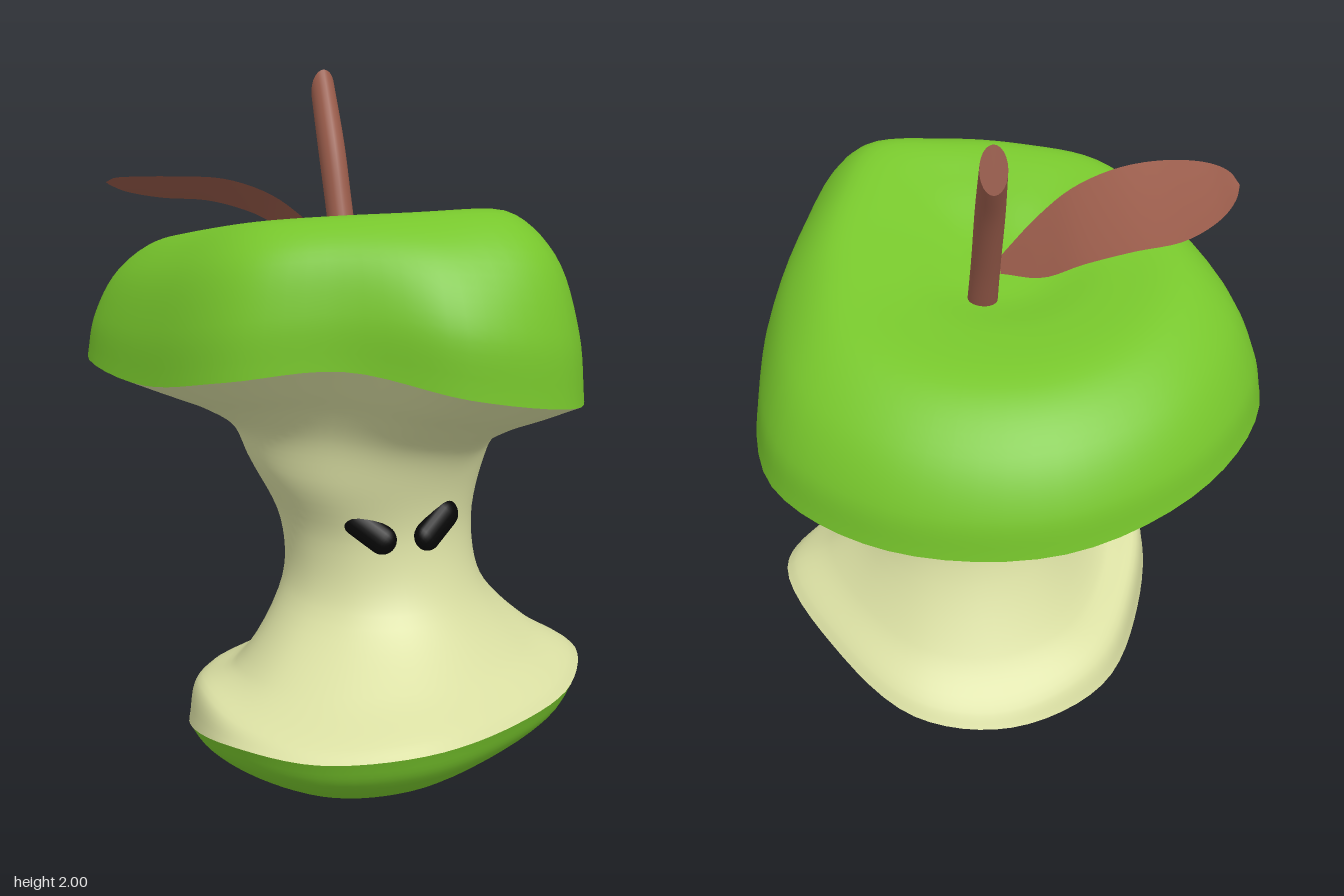
import * as THREE from 'three';
import { mergeVertices } from 'three/addons/utils/BufferGeometryUtils.js';

const V = (x, y, z) => new THREE.Vector3(x, y, z);
const mat = (name, color, side = THREE.FrontSide) => {
  const m = new THREE.MeshStandardMaterial({ color, side });
  m.name = name;
  return m;
};

function finish(pos, idx) {
  let g = new THREE.BufferGeometry();
  g.setAttribute('position', new THREE.Float32BufferAttribute(pos, 3));
  g.setIndex(idx);
  g = mergeVertices(g, 1e-5);
  g.computeVertexNormals();
  return g;
}

// Smooth skin through closed rings, listed from top to bottom.
function loft(rings, around = 72, rows = 24) {
  const loops = rings.map(r => new THREE.CatmullRomCurve3(r, true));
  const pos = [], idx = [];
  for (let j = 0; j < around; j++) {
    const column = new THREE.CatmullRomCurve3(loops.map(l => l.getPoint(j / around)));
    for (let i = 0; i <= rows; i++) pos.push(...column.getPoint(i / rows).toArray());
  }
  const id = (j, i) => (j % around) * (rows + 1) + i;
  for (let j = 0; j < around; j++) {
    for (let i = 0; i < rows; i++) {
      idx.push(id(j, i), id(j + 1, i), id(j, i + 1), id(j + 1, i), id(j + 1, i + 1), id(j, i + 1));
    }
  }
  return finish(pos, idx);
}

// Ring helpers: twelve points each, starting at +x and turning towards +z.
const ellipse = (x, y, z, rx, rz, tilt = 0) => Array.from({ length: 12 }, (_, k) => {
  const a = k * Math.PI / 6;
  return V(x + rx * Math.cos(a), y + tilt * Math.sin(a), z + rz * Math.sin(a));
});
const blend = (a, b, t, ty) => a.map((p, k) =>
  V(p.x + (b[k].x - p.x) * t, p.y + (b[k].y - p.y) * ty, p.z + (b[k].z - p.z) * t));
const scaled = (ring, sx, sz, cx, cz, yRule, maxZ = 1) => ring.map(p => {
  const z = Math.min(cz + (p.z - cz) * sz, maxZ);
  return V(cx + (p.x - cx) * sx, yRule(p.y, z), z);
});
const toRing = rows => rows.map(p => V(...p));

// Edges where the skin meets the flesh.
const topRim = toRing([
  [0.70, 1.17, -0.10], [0.64, 1.14, 0.30], [0.50, 1.18, 0.62], [0.18, 1.25, 0.71],
  [-0.12, 1.31, 0.58], [-0.41, 1.27, 0.47], [-0.59, 1.20, 0.20], [-0.71, 1.18, -0.25],
  [-0.50, 1.13, -0.62], [-0.10, 1.07, -0.82], [0.35, 1.07, -0.77], [0.65, 1.11, -0.52],
]);
const bottomRim = toRing([
  [0.70, 0.29, 0.20], [0.60, 0.28, 0.45], [0.36, 0.29, 0.66], [0.05, 0.31, 0.81],
  [-0.24, 0.31, 0.79], [-0.44, 0.30, 0.62], [-0.51, 0.24, 0.38], [-0.46, 0.15, 0.08],
  [-0.30, 0.10, -0.24], [0.00, 0.08, -0.39], [0.30, 0.12, -0.36], [0.55, 0.22, -0.12],
]);

// Tilted plane that the top of the fruit follows.
const plane = z => 1.58 + 0.25 * z;

function topSkin() {
  const layer = (sx, sz, t, drop, maxZ) =>
    scaled(topRim, sx, sz, 0, -0.05, (y, z) => y + (plane(z) - drop - y) * t, maxZ);
  return loft([
    ellipse(0.04, 1.48, -0.1, 0, 0),
    layer(0.18, 0.18, 1, 0.07),
    layer(0.42, 0.42, 1, 0.02),
    layer(0.68, 0.70, 1, 0, 0.42),
    layer(0.86, 0.885, 0.76, 0, 0.58),
    layer(0.965, 0.98, 0.36, 0),
    topRim,
  ], 72, 36);
}

function flesh() {
  const neck = ellipse(0.065, 0.95, 0.1, 0.355, 0.31, -0.04);
  const foot = ellipse(0.10, 0.55, 0.16, 0.30, 0.29);
  // Raised lip of flesh on the low right-hand edge of the base.
  const lip = blend(bottomRim, foot, 0.1, 0.1);
  [[5, 0.02], [6, 0.08], [7, 0.08], [8, 0.03]].forEach(([k, rise]) => { lip[k].y += rise; });
  return loft([
    topRim,
    blend(topRim, neck, 0.3, 0.2),
    blend(topRim, neck, 0.6, 0.39),
    blend(topRim, neck, 0.87, 0.64),
    neck,
    ellipse(0.09, 0.74, 0.12, 0.285, 0.27),
    foot,
    blend(foot, bottomRim, 0.5, 0.62),
    lip,
    bottomRim,
  ], 72, 54);
}

function bottomSkin() {
  const layer = (s, t, base) => scaled(bottomRim, s, s, 0.08, 0.17, y => y + (base - y) * t);
  return loft([
    bottomRim,
    layer(0.94, 0.32, 0.05),
    layer(0.77, 0.72, 0.05),
    layer(0.55, 0.93, 0.03),
    layer(0.25, 1, 0.015),
    ellipse(0.08, 0.002, 0.04, 0, 0),
  ]);
}

// Leaf sheet swept through stations of [x, back z, front z, middle y].
function leafGeometry() {
  const stations = [
    [0.01, -0.075, -0.015, 1.50], [-0.10, -0.20, 0.025, 1.575], [-0.20, -0.24, 0.045, 1.64],
    [-0.33, -0.255, 0.06, 1.685], [-0.47, -0.235, 0.072, 1.70], [-0.58, -0.17, 0.045, 1.715],
    [-0.63, -0.11, 0.0, 1.725], [-0.65, -0.055, -0.05, 1.725],
  ];
  const tilt = 0.17;
  const back = new THREE.CatmullRomCurve3(stations.map(([x, b, f, y]) => V(x, y - tilt * (f - b), b)));
  const front = new THREE.CatmullRomCurve3(stations.map(([x, b, f, y]) => V(x, y + tilt * (f - b), f)));
  const rows = 32, cols = 8, pos = [], idx = [];
  for (let i = 0; i <= rows; i++) {
    const a = back.getPoint(i / rows), b = front.getPoint(i / rows);
    const cup = 0.12 * a.distanceTo(b);
    for (let j = 0; j <= cols; j++) {
      const t = j / cols, p = a.clone().lerp(b, t);
      pos.push(p.x, p.y - cup * t * (1 - t), p.z);
      if (i < rows && j < cols) {
        const k = i * (cols + 1) + j;
        idx.push(k, k + 1, k + cols + 1, k + 1, k + cols + 2, k + cols + 1);
      }
    }
  }
  return finish(pos, idx);
}

export function createModel() {
  const green = mat('greenSkin', 0x77c62c);
  const cream = mat('creamFlesh', 0xd9dea2);
  const brown = mat('brownWood', 0x985b4a, THREE.DoubleSide);
  const black = mat('blackEyes', 0x060606);

  const model = new THREE.Group();
  model.name = 'appleCore';
  const add = (name, geometry, material) => {
    const mesh = new THREE.Mesh(geometry, material);
    mesh.name = name;
    model.add(mesh);
    return mesh;
  };

  add('topSkin', topSkin(), green);
  add('flesh', flesh(), cream);
  add('bottomSkin', bottomSkin(), green);

  // Leaning stem with a slanted cut end.
  const cut = ellipse(0.05, 1.935, -0.395, 0.036, 0.012, 0.063);
  add('stem', loft([
    cut,
    ellipse(0.053, 1.78, -0.298, 0.04, 0.044, 0.02),
    ellipse(0.06, 1.6, -0.222, 0.04, 0.042, 0.012),
    ellipse(0.068, 1.44, -0.165, 0.042, 0.042),
  ], 24, 16), brown);
  add('stemCut', loft([ellipse(0.05, 1.935, -0.395, 0, 0), cut], 24, 1), brown);
  add('leaf', leafGeometry(), brown);

  // Slanted angry eyes, mirrored about the middle of the core.
  const eyeShape = new THREE.CapsuleGeometry(0.042, 0.088, 8, 20).rotateZ(Math.PI / 2).scale(1, 1, 0.7);
  for (const side of [-1, 1]) {
    const eye = add(side < 0 ? 'rightEye' : 'leftEye', eyeShape, black);
    eye.position.set(0.103 + side * 0.098, 0.787, 0.372);
    eye.rotation.set(-0.25, side * 0.4, side * 0.58, 'YXZ');
  }
  return model;
}
